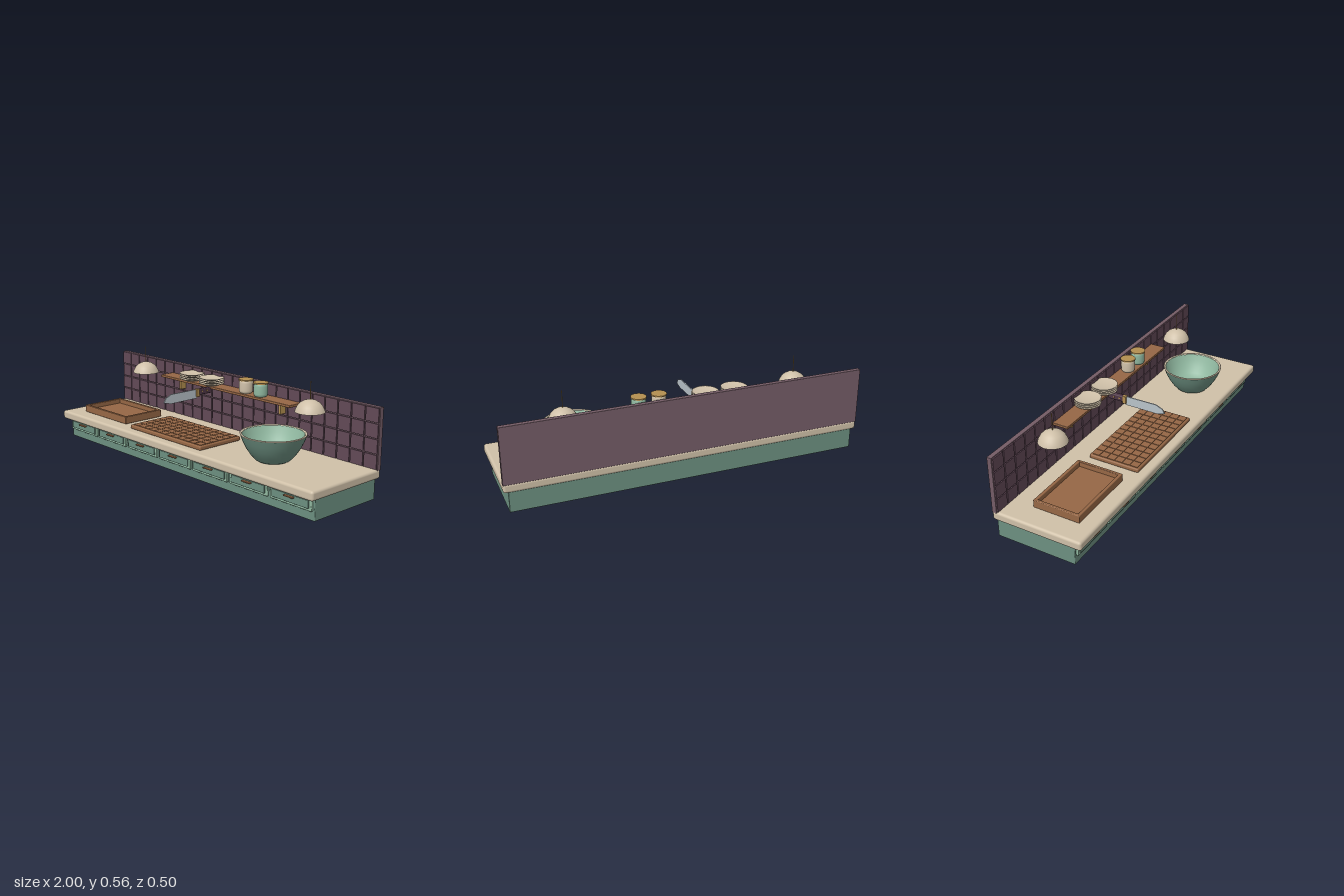
import * as THREE from 'three';
import { RoundedBoxGeometry } from 'three/addons/geometries/RoundedBoxGeometry.js';

const mat = (name, color, side = THREE.FrontSide) => {
  const m = new THREE.MeshStandardMaterial({ color, side });
  m.name = name;
  return m;
};

export function createModel() {
  const cream = mat('cream', 0xcfc0a8, THREE.DoubleSide);
  const green = mat('sage green', 0x6c8f80);
  const mint = mat('mint', 0x90b8a0);
  const plum = mat('plum wall', 0x745c66);
  const tilePlum = mat('plum tile', 0x624957);
  const darkPlum = mat('dark plum', 0x4e3645);
  const wood = mat('wood', 0x966745);
  const gold = mat('gold', 0xb48f50);
  const steel = mat('steel', 0xb9c3c9);

  const root = new THREE.Group();
  root.name = 'kitchenCounter';

  const add = (name, geo, m, x = 0, y = 0, z = 0, parent = root) => {
    const mesh = new THREE.Mesh(geo, m);
    mesh.name = name;
    mesh.position.set(x, y, z);
    parent.add(mesh);
    return mesh;
  };
  const group = (name, x = 0, y = 0, z = 0) => {
    const g = new THREE.Group();
    g.name = name;
    g.position.set(x, y, z);
    root.add(g);
    return g;
  };
  // Box given by its min and max corners, optionally rounded
  const box = (name, m, x0, x1, y0, y1, z0, z1, r = 0, parent = root) => {
    const s = [x1 - x0, y1 - y0, z1 - z0];
    const geo = r ? new RoundedBoxGeometry(...s, 3, r) : new THREE.BoxGeometry(...s);
    return add(name, geo, m, (x0 + x1) / 2, (y0 + y1) / 2, (z0 + z1) / 2, parent);
  };
  const lathe = (pts, seg = 40) =>
    new THREE.LatheGeometry(pts.map(p => new THREE.Vector2(...p)), seg);

  // Cabinet and worktop
  box('cabinet', green, -0.975, 0.975, 0, 0.12, -0.243, 0.2, 0.004);
  box('worktop', cream, -1, 1, 0.112, 0.162, -0.25, 0.25, 0.014);

  // Row of seven drawers
  for (let i = -3; i <= 3; i++) {
    const g = group('drawer', i * 0.278);
    box('drawerFront', mint, -0.13, 0.13, 0.047, 0.115, 0.198, 0.212, 0.004, g);
    box('drawerPanel', green, -0.115, 0.115, 0.06, 0.1, 0.21, 0.218, 0.002, g);
    box('drawerHandle', wood, -0.03, 0.03, 0.088, 0.095, 0.216, 0.232, 0.003, g);
  }

  // Backsplash wall with a grid of tiles
  box('backsplash', plum, -1, 1, 0.156, 0.47, -0.248, -0.222, 0.002);
  const tiles = group('tiles');
  const cols = 24, rows = 4, tw = 2 / cols, th = 0.0773;
  const tileGeo = new THREE.BoxGeometry(tw - 0.007, th - 0.006, 0.008);
  for (let c = 0; c < cols; c++)
    for (let r = 0; r < rows; r++)
      add('tile', tileGeo, tilePlum, -1 + (c + 0.5) * tw, 0.16 + (r + 0.5) * th, -0.219, tiles);

  // Wooden tray
  const tray = group('tray');
  box('trayBase', wood, -0.872, -0.486, 0.162, 0.178, -0.09, 0.162, 0, tray);
  for (const z of [-0.095, 0.15])
    box('traySide', wood, -0.878, -0.48, 0.162, 0.205, z, z + 0.017, 0.004, tray);
  for (const x of [-0.878, -0.497])
    box('trayEnd', wood, x, x + 0.017, 0.162, 0.205, -0.095, 0.167, 0.004, tray);

  // Block cutting board
  const board = group('cuttingBoard');
  box('boardBase', wood, -0.388, 0.198, 0.162, 0.186, -0.088, 0.203, 0.008, board);
  const nx = 12, nz = 6, bw = 0.566 / nx, bd = 0.272 / nz;
  const blockGeo = new THREE.BoxGeometry(bw - 0.004, 0.004, bd - 0.004);
  for (let i = 0; i < nx; i++)
    for (let j = 0; j < nz; j++)
      add('boardBlock', blockGeo, wood, -0.378 + (i + 0.5) * bw, 0.187, -0.079 + (j + 0.5) * bd, board);

  // Large mixing bowl
  const bowl = group('bowl', 0.555, 0.162, 0.036);
  add('bowlOutside', lathe([[0, 0], [0.075, 0], [0.09, 0.008], [0.115, 0.035],
    [0.138, 0.07], [0.155, 0.105], [0.167, 0.138]]), green, 0, 0, 0, bowl);
  add('bowlInside', lathe([[0.157, 0.139], [0.145, 0.105], [0.128, 0.07],
    [0.105, 0.038], [0.075, 0.016], [0, 0.012]]), mint, 0, 0, 0, bowl);
  add('bowlRim', lathe([[0.167, 0.137], [0.168, 0.14], [0.165, 0.142],
    [0.159, 0.142], [0.156, 0.137]]), cream, 0, 0, 0, bowl);

  // Wall shelf with brackets
  box('shelf', wood, -0.515, 0.51, 0.392, 0.406, -0.222, -0.127, 0.003);
  for (const x of [-0.4, 0.395])
    box('shelfBracket', gold, x - 0.007, x + 0.007, 0.33, 0.393, -0.222, -0.177);

  // Two stacks of plates
  for (const x of [-0.275, -0.11]) {
    const stack = group('plateStack', x, 0.406, -0.16);
    for (let i = 0; i < 4; i++)
      add('plate', lathe([[0, 0], [0.04, 0], [0.07, 0.011], [0.071, 0.014],
        [0.066, 0.014], [0.04, 0.006], [0, 0.006]], 32), cream, 0, i * 0.01, 0, stack);
  }

  // Storage jars with lids
  for (const [x, m] of [[0.155, cream], [0.265, mint]]) {
    const jar = group('jar', x, 0.406, -0.168);
    add('jarBody', lathe([[0, 0], [0.031, 0], [0.036, 0.006], [0.038, 0.015], [0.038, 0.056],
      [0.035, 0.066], [0.032, 0.07], [0, 0.07]], 28), m, 0, 0, 0, jar);
    add('jarLid', new THREE.CylinderGeometry(0.041, 0.041, 0.007, 28), gold, 0, 0.0725, 0, jar);
  }

  // Hanging lamps
  for (const x of [-0.65, 0.65]) {
    const lamp = group('lamp', x, 0.402, -0.122);
    add('lampShade', lathe([[0.077, 0], [0.073, 0.012], [0.063, 0.031], [0.049, 0.046],
      [0.03, 0.057], [0.012, 0.062], [0, 0.063]], 28), cream, 0, 0, 0, lamp);
    add('lampCord', new THREE.CylinderGeometry(0.002, 0.002, 0.095, 8), gold, 0, 0.107, 0, lamp);
  }

  // Chef's knife pointing forward
  const knife = group('knife', -0.097, 0, 0);
  const outline = [[-0.035, 0.402], [0.145, 0.402], [0.184, 0.386], [0.198, 0.361],
    [0.15, 0.35], [-0.035, 0.352]];
  const blade = new THREE.ExtrudeGeometry(
    new THREE.Shape(outline.map(([z, y]) => new THREE.Vector2(-z, y))),
    { depth: 0.006, bevelEnabled: false });
  blade.rotateY(Math.PI / 2).translate(-0.003, 0, 0);
  add('knifeBlade', blade, steel, 0, 0, 0, knife);
  box('knifeBolster', gold, -0.011, 0.011, 0.36, 0.404, -0.052, -0.03, 0.003, knife);
  box('knifeHandle', darkPlum, -0.013, 0.013, 0.369, 0.402, -0.139, -0.047, 0.006, knife);
  for (const z of [-0.067, -0.103])
    box('knifeRivet', gold, -0.0145, 0.0145, 0.383, 0.391, z - 0.004, z + 0.004, 0, knife);

  return root;
}
